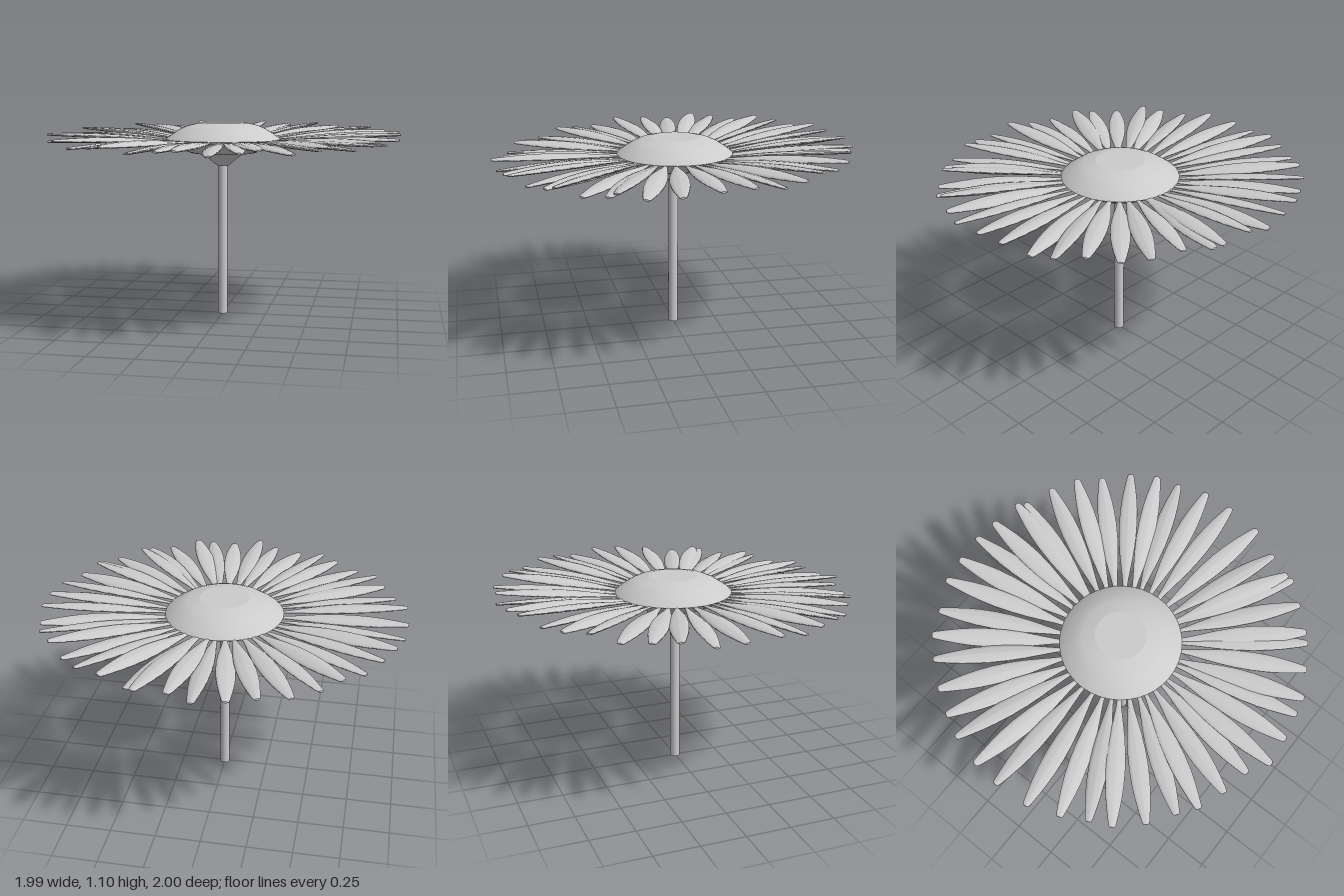
import * as THREE from 'three';

const material = new THREE.MeshStandardMaterial({ color: 0xcccccc });

// Petal tips as x, z, going round the flower
const TIPS = [
  [0.995, -0.02], [0.985, 0.17], [0.92, 0.33], [0.86, 0.46], [0.86, 0.5], [0.77, 0.61],
  [0.65, 0.73], [0.61, 0.77], [0.49, 0.85], [0.34, 0.93], [0.25, 0.95], [0.11, 0.98],
  [-0.05, 1], [-0.16, 0.93], [-0.31, 0.9], [-0.46, 0.85], [-0.55, 0.78], [-0.68, 0.69],
  [-0.8, 0.57], [-0.85, 0.46], [-0.92, 0.33], [-0.985, 0.17], [-0.995, -0.02], [-0.98, -0.17],
  [-0.94, -0.33], [-0.88, -0.45], [-0.8, -0.58], [-0.7, -0.7], [-0.6, -0.8], [-0.47, -0.87],
  [-0.32, -0.95], [-0.18, -0.98], [-0.02, -1], [0.1, -0.98], [0.27, -0.96], [0.31, -0.93],
  [0.46, -0.87], [0.6, -0.8], [0.7, -0.7], [0.81, -0.58], [0.9, -0.46], [0.94, -0.34],
  [0.985, -0.18],
];

// Petal stations from root to tip: position along the length, half width
const STATIONS = [
  [0, 0.009], [0.1, 0.016], [0.2, 0.027], [0.32, 0.04], [0.45, 0.049], [0.58, 0.052],
  [0.7, 0.049], [0.8, 0.042], [0.9, 0.031], [0.97, 0.022], [0.99, 0.018], [1, 0.011],
];

// Unit-length petal along +x: a flattened tube with a varying width
function petalGeometry() {
  const rows = STATIONS.length - 1;
  const geo = new THREE.CylinderGeometry(1, 1, 1, 10, rows);
  const pos = geo.attributes.position;
  for (let i = 0; i < pos.count; i++) {
    const [t, w] = STATIONS[Math.round((pos.getY(i) + 0.5) * rows)];
    const across = pos.getX(i), up = pos.getZ(i);
    const bow = 0.008 * Math.sin(Math.PI * t);
    pos.setXYZ(i, t, up * (0.003 + w * 0.19) + bow, across * w);
  }
  geo.computeVertexNormals();
  return geo;
}

// A repeated profile point makes a sharp edge
function lathe(name, profile) {
  const points = profile.map(([r, y]) => new THREE.Vector2(r, y));
  const mesh = new THREE.Mesh(new THREE.LatheGeometry(points, 40), material);
  mesh.name = name;
  return mesh;
}

export function createModel() {
  const flower = new THREE.Group();
  flower.name = 'flower';

  // Stem
  const stem = new THREE.Mesh(new THREE.CylinderGeometry(0.028, 0.028, 0.88, 16), material);
  stem.name = 'stem';
  stem.position.y = 0.44;
  flower.add(stem);

  // Flared neck and cup under the head, and the domed centre with a flat top
  const neck = lathe('neck', [
    [0, 0.86], [0.034, 0.86], [0.034, 0.86], [0.06, 0.88], [0.09, 0.906], [0.12, 0.926], [0.16, 0.934],
  ]);
  const cup = lathe('cup', [[0.1, 0.93], [0.18, 0.93], [0.21, 0.94], [0.26, 0.968], [0.325, 1.008]]);
  const dome = lathe('centreDisc', [
    [0.325, 1.008], [0.31, 1.022], [0.28, 1.043], [0.24, 1.068], [0.2, 1.085],
    [0.135, 1.1], [0.135, 1.1], [0, 1.1],
  ]);
  cup.position.z = dome.position.z = -0.01;
  flower.add(neck, cup, dome);

  // Petals, tilted up a little toward the back
  const petals = new THREE.Group();
  petals.name = 'petals';
  const geo = petalGeometry();
  TIPS.forEach(([x, z], i) => {
    const radius = Math.hypot(x, z);
    const rootRadius = 0.29;
    const length = radius - rootRadius;
    const rise = 0.026 - 0.033 * z + 0.013 * (1 - (i % 3));
    const petal = new THREE.Mesh(geo, material);
    petal.name = 'petal';
    petal.position.set((x / radius) * rootRadius, 1, (z / radius) * rootRadius);
    petal.rotation.order = 'YZX';
    // Each petal rolls slightly about its own length
    petal.rotation.set(0.18 * Math.sin(i * 2.4), Math.atan2(-z, x), Math.atan2(rise, length));
    petal.scale.x = length;
    petals.add(petal);
  });
  flower.add(petals);

  return flower;
}
